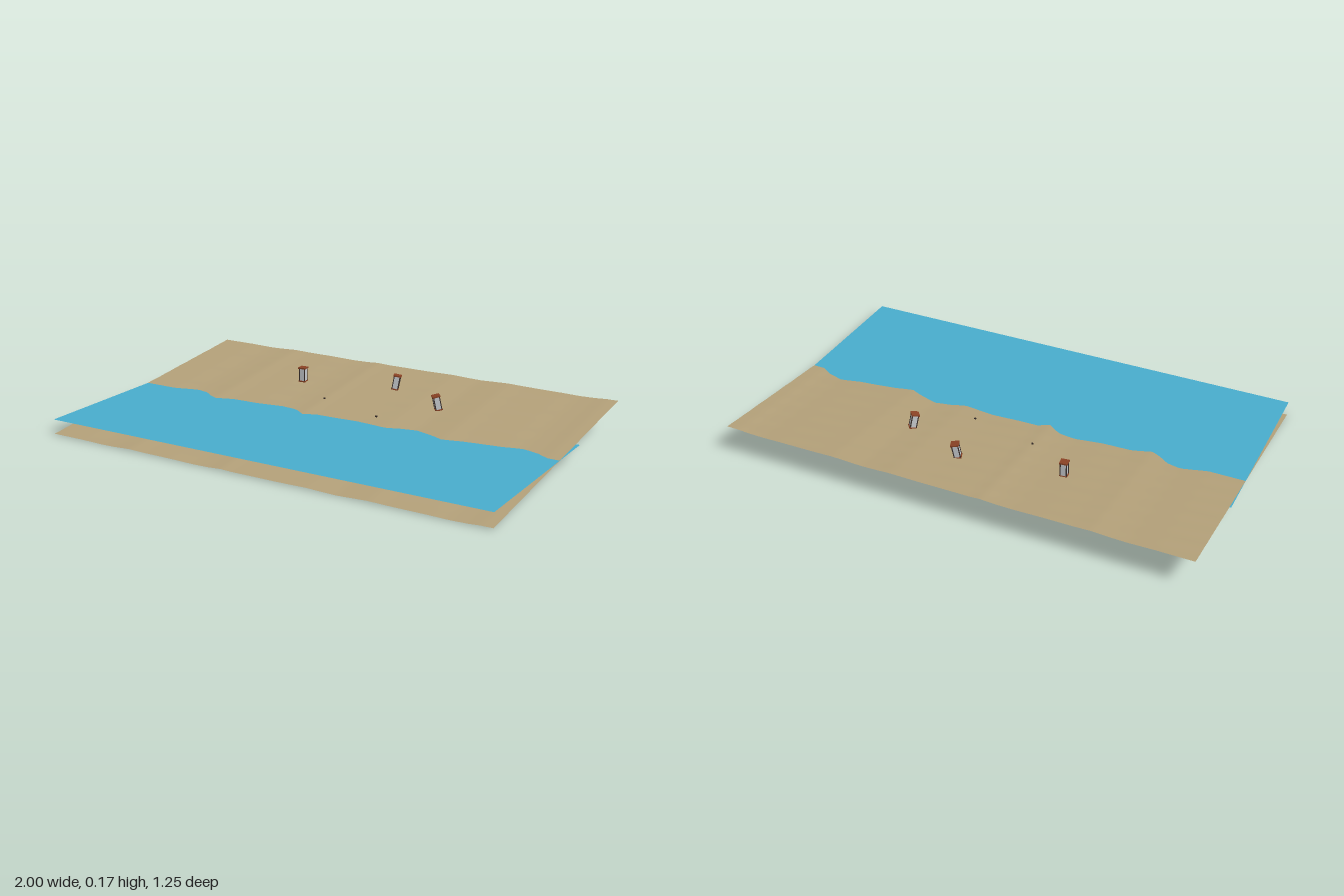
import * as THREE from 'three';

const mat = (name, color, side = THREE.FrontSide) => {
  const m = new THREE.MeshStandardMaterial({ color, side });
  m.name = name;
  return m;
};

// Shoreline offsets in z along x; they become small swells in the sand.
const SHORE = [
  [-1, 0], [-0.85, 0], [-0.74, -0.025], [-0.68, -0.012], [-0.6, 0.03], [-0.52, 0.006],
  [-0.4, 0.002], [-0.28, -0.022], [-0.21, -0.01], [-0.15, 0.028], [-0.1, 0.006], [0, 0.004],
  [0.1, 0], [0.16, 0.006], [0.24, 0.018], [0.3, -0.008], [0.37, -0.026], [0.43, 0],
  [0.5, 0.028], [0.58, 0.008], [0.65, 0], [0.75, -0.008], [0.83, -0.026], [0.9, -0.01],
  [0.95, 0.025], [1, 0.028],
];
const SLOPE = 0.1, WATER_Y = 0.066;

function swell(x) {
  for (let i = 1; i < SHORE.length; i++) {
    const [x0, a] = SHORE[i - 1], [x1, b] = SHORE[i];
    if (x <= x1) return a + (b - a) * (x - x0) / (x1 - x0);
  }
  return SHORE[SHORE.length - 1][1];
}

const sandHeight = (x, z) => Math.max(0,
  WATER_Y - SLOPE * z + SLOPE * swell(x) + 0.0007 * Math.sin(50 * z) * Math.cos(9 * x + 14 * z));

export function createModel() {
  const model = new THREE.Group();
  model.name = 'beach';
  const sand = mat('sand', 0xb3a079, THREE.DoubleSide);
  const water = mat('water', 0x48accc, THREE.DoubleSide);
  const capRed = mat('red brown', 0x8a4224);
  const pane = mat('pale grey', 0xc4c8cc);
  const frame = mat('dark frame', 0x3a302c);

  const add = (parent, name, geo, material, x = 0, y = 0, z = 0) => {
    const mesh = new THREE.Mesh(geo, material);
    mesh.name = name;
    mesh.position.set(x, y, z);
    parent.add(mesh);
    return mesh;
  };

  // Sloping, gently rippled sand
  const ground = new THREE.PlaneGeometry(2, 1.25, 120, 80).rotateX(-Math.PI / 2);
  const p = ground.attributes.position;
  for (let i = 0; i < p.count; i++) p.setY(i, sandHeight(p.getX(i), p.getZ(i)));
  ground.computeVertexNormals();
  add(model, 'sand', ground, sand);

  // Flat water sheet, running on a little way beneath the sand
  add(model, 'water', new THREE.PlaneGeometry(2, 0.815).rotateX(-Math.PI / 2), water,
    0, WATER_Y, 0.2175);

  // Small lanterns: red-brown base and cap, pale body, dark corner posts
  const lantern = (x, z, yaw, leanX, leanZ) => {
    const g = new THREE.Group();
    g.name = 'lantern';
    add(g, 'base', new THREE.BoxGeometry(0.032, 0.005, 0.032), capRed, 0, 0.0025, 0);
    add(g, 'body', new THREE.BoxGeometry(0.025, 0.055, 0.025), pane, 0, 0.0325, 0);
    add(g, 'cap', new THREE.BoxGeometry(0.034, 0.006, 0.034), capRed, 0, 0.063, 0);
    for (const sx of [-1, 1]) for (const sz of [-1, 1]) {
      add(g, 'cornerPost', new THREE.BoxGeometry(0.004, 0.056, 0.004), frame,
        sx * 0.0125, 0.0325, sz * 0.0125);
    }
    g.position.set(x, sandHeight(x, z) - 0.001, z);
    // Lean first in world axes, yaw innermost
    g.rotation.set(leanZ, yaw, -leanX, 'XZY');
    model.add(g);
  };
  lantern(-0.355, -0.303, 0.1, 0, 0);
  lantern(0.072, -0.378, 0.35, 0.15, -0.1);
  lantern(0.348, -0.252, 0.7, -0.15, 0.16);

  // Tiny chips standing in the sand
  for (const [x, z] of [[-0.15, -0.15], [0.15, -0.07]]) {
    add(model, 'chip', new THREE.BoxGeometry(0.008, 0.008, 0.004), frame,
      x, sandHeight(x, z) + 0.002, z);
  }
  return model;
}
